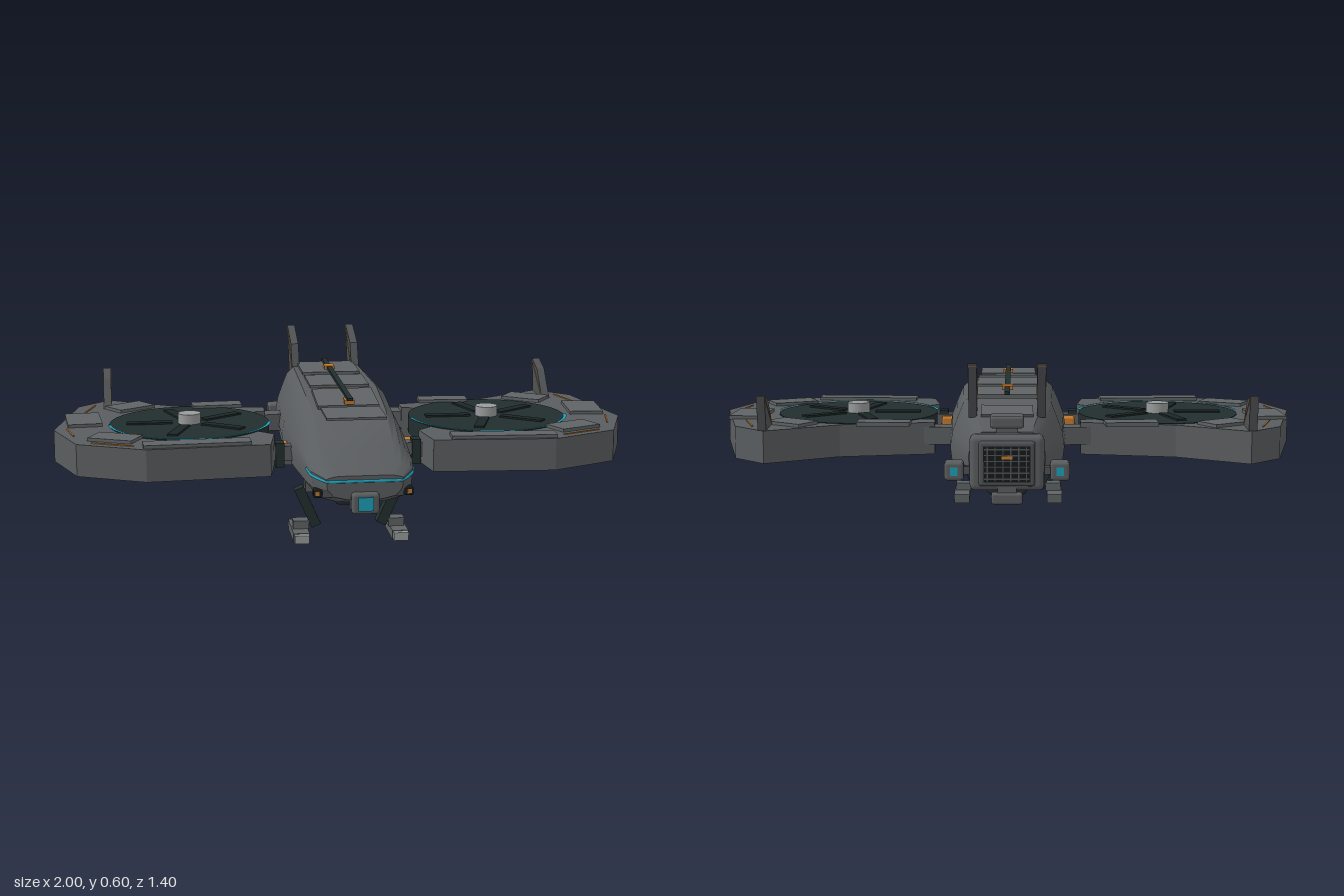
import * as THREE from 'three';
import { RoundedBoxGeometry } from 'three/addons/geometries/RoundedBoxGeometry.js';
import { toCreasedNormals } from 'three/addons/utils/BufferGeometryUtils.js';

const mat = (name, color) => Object.assign(new THREE.MeshStandardMaterial({ color }), { name });
const hullGrey = mat('hull grey', 0x5a5d5f);
const panelGrey = mat('panel grey', 0x5f6365);
const darkTeal = mat('dark teal', 0x222e2e);
const bladeDark = mat('blade dark', 0x1c2626);
const finGrey = mat('fin grey', 0x4f5254);
const hubGrey = mat('hub light grey', 0x9a9d9d);
const orange = mat('orange', 0xc47a2c);
const cyan = mat('cyan', 0x1d9fb8);
const black = mat('near black', 0x15191a);

function add(parent, name, geo, material, x = 0, y = 0, z = 0, ry = 0) {
  const m = new THREE.Mesh(geo, material);
  m.name = name;
  m.position.set(x, y, z);
  m.rotation.y = ry;
  parent.add(m);
  return m;
}
const box = (parent, name, w, h, d, material, x, y, z, ry = 0) =>
  add(parent, name, new THREE.BoxGeometry(w, h, d), material, x, y, z, ry);
const round = (parent, name, w, h, d, r, material, x, y, z) =>
  add(parent, name, new RoundedBoxGeometry(w, h, d, 2, r), material, x, y, z);

// Fuselage lofted through sections of [z, half width, bottom, widest height, top]
function fuselageGeometry() {
  const sections = [
    [0.668, 0.125, 0.24, 0.308, 0.318], [0.6, 0.166, 0.215, 0.32, 0.345], [0.5, 0.181, 0.207, 0.326, 0.385],
    [0.27, 0.196, 0.202, 0.315, 0.45], [0, 0.205, 0.2, 0.305, 0.478], [-0.42, 0.19, 0.21, 0.305, 0.476],
    [-0.52, 0.16, 0.225, 0.305, 0.43], [-0.615, 0.125, 0.24, 0.305, 0.385],
  ];
  const lower = [[0.45, 0], [0.8, 0.15], [0.97, 0.5], [1, 1]];
  const upper = [[0.96, 0.3], [0.87, 0.58], [0.77, 0.86], [0.64, 1]];
  const rings = sections.map(([z, w, b, m, t]) => {
    const right = [...lower.map(([x, f]) => [x * w, b + f * (m - b), z]),
      ...upper.map(([x, f]) => [x * w, m + f * (t - m), z])];
    return [...right, ...right.map(([x, y]) => [-x, y, z]).reverse()];
  });
  const n = rings[0].length;
  const pos = [];
  const tri = (a, b, c) => pos.push(...a, ...b, ...c);
  for (let j = 0; j < n; j++) {
    const k = (j + 1) % n;
    for (let i = 0; i < rings.length - 1; i++) {
      const [p, q] = [rings[i], rings[i + 1]];
      tri(p[j], q[j], p[k]);
      tri(p[k], q[j], q[k]);
    }
    const last = rings[rings.length - 1];
    tri([0, 0.28, 0.668], rings[0][j], rings[0][k]);
    tri([0, 0.31, -0.615], last[k], last[j]);
  }
  const g = new THREE.BufferGeometry();
  g.setAttribute('position', new THREE.Float32BufferAttribute(pos, 3));
  return toCreasedNormals(g, 0.5);
}

// Upright fin from [z, y] corners, with an orange diagonal stripe on both faces
function addFin(parent, name, x, pts) {
  const fin = new THREE.Group();
  fin.name = name;
  const t = 0.028;
  const g = new THREE.ExtrudeGeometry(new THREE.Shape(pts.map(([z, y]) => new THREE.Vector2(-z, y))),
    { depth: t, bevelEnabled: false });
  g.rotateY(Math.PI / 2).translate(-t / 2, 0, 0);
  add(fin, 'fin blade', g, finGrey);
  const [a, , b] = pts;
  const dz = b[0] - a[0], dy = b[1] - a[1];
  const stripe = box(fin, 'fin stripe', t + 0.003, 0.006, Math.hypot(dz, dy) * 0.96, orange,
    0, (a[1] + b[1]) / 2 - 0.003, (a[0] + b[0]) / 2);
  stripe.rotation.x = Math.atan2(dy, -dz);
  fin.position.x = x;
  parent.add(fin);
}

// Rotor pod: open C-shaped duct with fan, panels and wingtip fin
function addPod(root, s) {
  const pod = new THREE.Group();
  pod.name = s > 0 ? 'leftRotorPod' : 'rightRotorPod';
  root.add(pod);
  const cx = 0.53, r = 0.28;
  const outline = [[0.25, 0.21], [0.275, 0.37], [0.69, 0.4], [0.92, 0.29], [1, 0.06], [0.92, -0.33],
    [0.81, -0.44], [0.57, -0.3], [0.25, -0.24], [0.25, -0.17]];
  for (let i = 0; i <= 28; i++) {
    const a = THREE.MathUtils.degToRad(-145 + (290 * i) / 28);
    outline.push([cx + r * Math.cos(a), r * Math.sin(a)]);
  }
  const g = new THREE.ExtrudeGeometry(
    new THREE.Shape(outline.map(([x, z]) => new THREE.Vector2(s * x, -z))), { depth: 0.11, bevelEnabled: false });
  add(pod, 'duct', g.rotateX(-Math.PI / 2), hullGrey, 0, 0.25, 0);

  // Fan
  add(pod, 'fan disc', new THREE.CylinderGeometry(r, r, 0.06, 32), darkTeal, s * cx, 0.332, 0);
  for (let i = 0; i < 5; i++) {
    const a = Math.PI + (i * Math.PI * 2) / 5;
    box(pod, 'fan blade', 0.16, 0.008, 0.036, bladeDark,
      s * cx + 0.14 * Math.cos(a), 0.364, -0.14 * Math.sin(a), a);
  }
  add(pod, 'fan hub', new THREE.CylinderGeometry(0.04, 0.04, 0.036, 16), hubGrey, s * cx, 0.379, 0);
  add(pod, 'duct glow arc', new THREE.RingGeometry(r - 0.006, r + 0.006, 40, 1, Math.PI + 0.1, Math.PI - 0.2)
    .rotateX(-Math.PI / 2), cyan, s * cx, 0.366, 0);

  // Raised panels [x, z, width, depth, turn]
  for (const [x, z, w, d, a] of [[0.42, -0.28, 0.18, 0.075, -0.06], [0.735, -0.28, 0.15, 0.1, -0.6],
    [0.9, -0.07, 0.12, 0.19, -0.08], [0.79, 0.23, 0.16, 0.1, 0.42], [0.52, 0.342, 0.36, 0.07, -0.05]])
    box(pod, 'duct panel', w, 0.014, d, panelGrey, s * x, 0.364, z, s * a);

  // Orange edge lines between outline corners
  for (const [x1, z1, x2, z2] of [[0.86, -0.34, 0.9, -0.2], [0.955, 0.05, 0.93, 0.17], [0.87, 0.28, 0.73, 0.345]])
    box(pod, 'edge line', Math.hypot(x2 - x1, z2 - z1), 0.005, 0.005, orange,
      (s * (x1 + x2)) / 2, 0.361, (z1 + z2) / 2, Math.atan2(z1 - z2, s * (x2 - x1)));

  addFin(pod, 'wingtip fin', s * 0.815, [[-0.28, 0.36], [-0.37, 0.455], [-0.455, 0.48], [-0.43, 0.36]]);

  // Arms joining the pod to the fuselage
  box(pod, 'rear arm', 0.17, 0.06, 0.075, hullGrey, s * 0.235, 0.315, -0.215, -s * 0.12);
  box(pod, 'front arm', 0.14, 0.05, 0.05, hullGrey, s * 0.23, 0.3, 0.225);
  box(pod, 'hinge block', 0.03, 0.085, 0.05, darkTeal, s * 0.235, 0.295, 0.235);
  box(pod, 'hinge shelf', 0.06, 0.04, 0.09, hullGrey, s * 0.215, 0.272, 0.175);
  round(pod, 'hinge light', 0.04, 0.036, 0.048, 0.008, orange, s * 0.221, 0.305, 0.16);
}

function addLeg(root, s) {
  const leg = new THREE.Group();
  leg.name = s > 0 ? 'leftLandingLeg' : 'rightLandingLeg';
  root.add(leg);
  box(leg, 'hip', 0.06, 0.045, 0.055, hullGrey, s * 0.12, 0.19, 0.245);
  const strut = box(leg, 'strut', 0.035, 0.145, 0.045, darkTeal, s * 0.142, 0.112, 0.245);
  strut.rotation.z = -s * 0.42;
  box(leg, 'ankle', 0.055, 0.03, 0.05, panelGrey, s * 0.165, 0.05, 0.245);
  box(leg, 'foot', 0.055, 0.032, 0.19, panelGrey, s * 0.17, 0.021, 0.235);
  box(leg, 'toe', 0.05, 0.028, 0.024, hubGrey, s * 0.17, 0.021, 0.341);
}

export function createModel() {
  const root = new THREE.Group();
  root.name = 'rotorcraft';
  add(root, 'fuselage', fuselageGeometry(), hullGrey);

  // Dorsal plates, rail and markers
  box(root, 'nose plate', 0.2, 0.008, 0.18, panelGrey, 0, 0.461, 0.38);
  box(root, 'front dorsal plate', 0.21, 0.014, 0.2, panelGrey, 0, 0.467, 0.16).rotation.x = 0.1;
  for (const [z, d] of [[-0.09, 0.2], [-0.35, 0.22]])
    box(root, 'dorsal plate', 0.21, 0.014, d, panelGrey, 0, 0.479, z);
  box(root, 'rear dorsal plate', 0.17, 0.012, 0.06, panelGrey, 0, 0.437, -0.51).rotation.x = -0.43;
  box(root, 'spine rail', 0.018, 0.01, 0.77, darkTeal, 0, 0.491, -0.085);
  box(root, 'front marker', 0.034, 0.014, 0.05, orange, 0, 0.479, 0.26);
  box(root, 'rear marker', 0.036, 0.014, 0.05, orange, 0, 0.492, -0.315);

  // Nose light band and sensor
  const band = new THREE.CatmullRomCurve3([[0.174, 0.315, 0.535], [0.165, 0.308, 0.6], [0.122, 0.3, 0.666],
    [0, 0.3, 0.667], [-0.122, 0.3, 0.666], [-0.165, 0.308, 0.6], [-0.174, 0.315, 0.535]]
    .map((p) => new THREE.Vector3(...p)), false, 'catmullrom', 0.2);
  add(root, 'nose light band', new THREE.TubeGeometry(band, 48, 0.005, 6), cyan);
  round(root, 'sensor housing', 0.09, 0.07, 0.065, 0.012, hullGrey, 0, 0.23, 0.66);
  box(root, 'sensor lens', 0.05, 0.045, 0.008, cyan, 0, 0.23, 0.693);

  // Belly beam with plates
  round(root, 'belly beam', 0.13, 0.05, 0.92, 0.015, darkTeal, 0, 0.18, -0.04);
  for (const z of [0.22, -0.03, -0.26]) box(root, 'belly plate', 0.1, 0.008, 0.16, bladeDark, 0, 0.154, z);

  // Tail engine block with grille
  round(root, 'engine block', 0.24, 0.18, 0.07, 0.02, hullGrey, 0, 0.293, -0.645);
  round(root, 'engine frame', 0.18, 0.145, 0.03, 0.01, finGrey, 0, 0.293, -0.68);
  box(root, 'exhaust', 0.15, 0.115, 0.004, black, 0, 0.293, -0.696);
  for (let i = 0; i < 6; i++) {
    box(root, 'grille bar', 0.145, 0.004, 0.004, finGrey, 0, 0.246 + i * 0.019, -0.698);
    box(root, 'grille post', 0.004, 0.11, 0.004, finGrey, -0.0625 + i * 0.025, 0.293, -0.698);
  }
  box(root, 'exhaust mark', 0.035, 0.01, 0.004, orange, 0, 0.315, -0.7);
  round(root, 'upper tail pod', 0.11, 0.04, 0.085, 0.01, hullGrey, 0, 0.42, -0.607);
  box(root, 'upper pod mount', 0.07, 0.05, 0.05, hullGrey, 0, 0.385, -0.6);
  round(root, 'lower tail pod', 0.1, 0.036, 0.04, 0.008, hullGrey, 0, 0.18, -0.675);
  box(root, 'lower pod mount', 0.06, 0.03, 0.03, hullGrey, 0, 0.205, -0.665);

  for (const s of [1, -1]) {
    addPod(root, s);
    addLeg(root, s);
    addFin(root, 'tail fin', s * 0.112, [[-0.41, 0.45], [-0.46, 0.555], [-0.6, 0.604], [-0.53, 0.42]]);
    round(root, 'side thruster', 0.062, 0.06, 0.065, 0.01, hullGrey, s * 0.17, 0.265, -0.638);
    box(root, 'side thruster glow', 0.024, 0.028, 0.004, cyan, s * 0.17, 0.265, -0.671);
    box(root, 'side thruster mount', 0.04, 0.025, 0.02, finGrey, s * 0.13, 0.265, -0.64);
    round(root, 'nose pod', 0.03, 0.03, 0.032, 0.006, black, s * 0.148, 0.255, 0.622);
    box(root, 'nose marker', 0.014, 0.014, 0.006, orange, s * 0.15, 0.255, 0.637);
  }
  return root;
}
